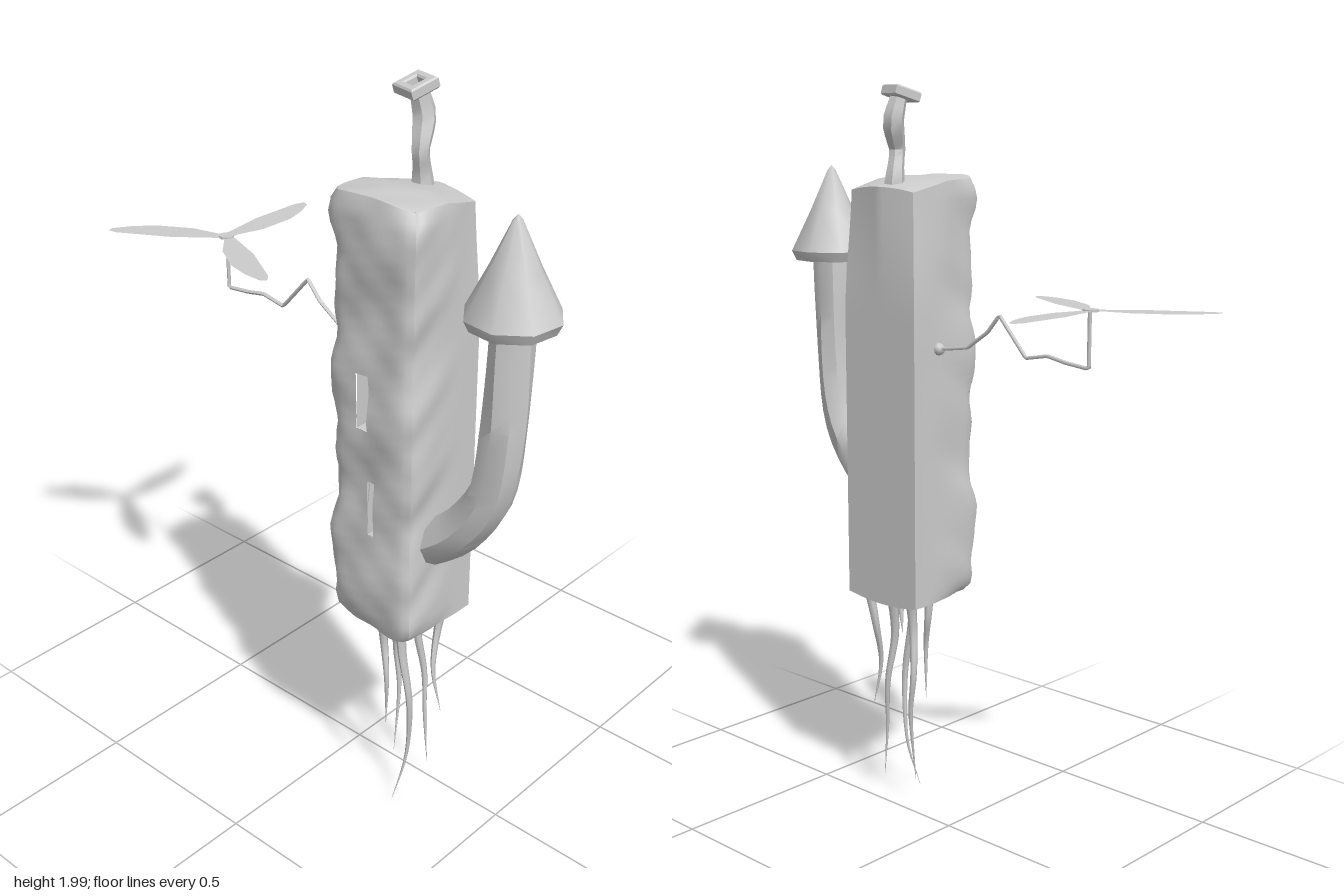
import * as THREE from 'three';
import { toCreasedNormals } from 'three/addons/utils/BufferGeometryUtils.js';

const grey = new THREE.MeshStandardMaterial({ color: 0xcccccc });
const greyThin = new THREE.MeshStandardMaterial({ color: 0xcccccc, side: THREE.DoubleSide });

function add(parent, name, geometry, material = grey) {
  const mesh = new THREE.Mesh(geometry, material);
  mesh.name = name;
  parent.add(mesh);
  return mesh;
}

// Tube along points, its radius scaled by a function of t; tension 0 keeps kinks straight
function sweep(points, radius, sides, steps, scale = () => 1, tension = 0.5) {
  const path = new THREE.CatmullRomCurve3(
    points.map((p) => new THREE.Vector3(...p)), false, 'catmullrom', tension);
  const geo = new THREE.TubeGeometry(path, steps, radius, sides, false);
  const pos = geo.attributes.position;
  const v = new THREE.Vector3();
  for (let i = 0; i <= steps; i++) {
    const centre = path.getPointAt(i / steps);
    for (let j = 0; j <= sides; j++) {
      const k = i * (sides + 1) + j;
      v.fromBufferAttribute(pos, k).sub(centre)
        .multiplyScalar(scale(i / steps, j % sides)).add(centre);
      pos.setXYZ(k, v.x, v.y, v.z);
    }
  }
  geo.computeVertexNormals();
  return geo;
}

// Tower block: rough at the front, plain at the back, with window openings cut in the front
const SIZE = [0.26, 1.16, 0.25], CENTRE = [0.225, 1.18, 0.095];
const COLS = 16, ROWS = 40, DEPTH = 10;
const windows = [
  { c0: 6, c1: 8, r0: 20, r1: 25 },
  { c0: 8, c1: 9, r0: 10, r1: 15 },
];

function roughness(x, y, z) {
  return 0.5 * Math.sin(13 * y + 6 * x + 1) + 0.35 * Math.sin(29 * y - 21 * x + 17 * z)
    + 0.3 * Math.sin(47 * x + 23 * y + 2) * Math.sin(31 * y + 40 * z);
}

function towerGeometry() {
  const geo = new THREE.BoxGeometry(...SIZE, COLS, ROWS, DEPTH);
  const front = geo.groups[4];
  const kept = [];
  for (let i = 0; i < geo.index.count; i++) {
    const cell = Math.floor((i - front.start) / 6);
    const col = cell % COLS, row = ROWS - 1 - Math.floor(cell / COLS);
    const open = i >= front.start && i < front.start + front.count && windows.some((w) =>
      col >= w.c0 && col < w.c1 && row >= w.r0 && row < w.r1);
    if (!open) kept.push(geo.index.getX(i));
  }
  geo.setIndex(kept);
  geo.clearGroups();

  const pos = geo.attributes.position;
  for (let i = 0; i < pos.count; i++) {
    const x = pos.getX(i), y = pos.getY(i), z = pos.getZ(i);
    const u = x / (SIZE[0] / 2), v = y / (SIZE[1] / 2), w = z / (SIZE[2] / 2);
    const rough = THREE.MathUtils.smoothstep(w, -0.6, 0.7);
    const n = roughness(x, y, z);
    const end = Math.pow(Math.abs(v), 24) * rough;
    const corner = Math.pow(Math.abs(u), 6) * Math.pow(Math.max(w, 0), 6);
    const lean = THREE.MathUtils.smoothstep(v, 0.35, 1) * Math.max(-w, 0);
    // sides bulge, front corners and ends soften, the upper back corners chamfer
    const nx = x * (1 + 0.09 * n * rough - 0.1 * end - 0.06 * corner
      - 0.16 * lean * (u < 0 ? 1 : 0.5));
    const nz = z + (0.011 * n - 0.014 * end - 0.018 * corner) * Math.max(w, 0)
      + 0.02 * lean * Math.abs(u);
    const ny = y + (v > 0 ? 1 : -1) * Math.pow(Math.abs(v), 16)
      * (0.006 * n * rough - 0.012 * u * u) - 0.025 * lean * Math.pow(Math.abs(v), 16);
    pos.setXYZ(i, nx + CENTRE[0], ny + CENTRE[1], nz + CENTRE[2]);
  }
  geo.computeVertexNormals();
  return geo;
}

function buildTower(group) {
  const tower = new THREE.Group();
  tower.name = 'tower';
  add(tower, 'stoneBlock', towerGeometry());
  const dx = SIZE[0] / COLS, dy = SIZE[1] / ROWS;
  for (const w of windows) {
    // inward-facing pocket behind each opening
    const width = (w.c1 - w.c0) * dx, height = (w.r1 - w.r0) * dy;
    const pocket = new THREE.BoxGeometry(width + 0.004, height + 0.004, 0.06);
    pocket.scale(-1, 1, 1);
    pocket.computeVertexNormals();
    add(tower, 'windowRecess', pocket).position.set(
      CENTRE[0] - SIZE[0] / 2 + (w.c0 + w.c1) / 2 * dx, 0.6 + (w.r0 + w.r1) / 2 * dy, 0.19);
  }
  group.add(tower);
}

// Curved side turret with a pointed roof
function buildTurret(group) {
  const turret = new THREE.Group();
  turret.name = 'sideTurret';
  const path = [[0.29, 0.84, 0.11], [0.35, 0.875, 0.11], [0.44, 0.95, 0.11],
    [0.515, 1.07, 0.11], [0.545, 1.25, 0.11], [0.553, 1.54, 0.11]];
  const wall = sweep(path, 0.056, 8, 18,
    (t, j) => 1.05 - 0.1 * t + 0.05 * Math.sin(9 * t + 2.3 * j));
  add(turret, 'turretWall', toCreasedNormals(wall, 0.7));
  const profile = [[0, 1.53], [0.05, 1.528], [0.104, 1.518], [0.117, 1.545],
    [0.062, 1.655], [0.012, 1.765], [0, 1.78]].map((p) => new THREE.Vector2(...p));
  const roof = add(turret, 'turretRoof',
    toCreasedNormals(new THREE.LatheGeometry(profile, 8), 0.85));
  roof.position.set(0.553, 0, 0.11);
  roof.rotation.y = 0.25;
  group.add(turret);
}

// Crooked chimney with a square, hollow, tilted cap
function buildChimney(group) {
  const chimney = new THREE.Group();
  chimney.name = 'chimney';
  const path = [[0.217, 1.72, 0.022], [0.215, 1.77, 0.025], [0.222, 1.83, 0.04],
    [0.208, 1.9, 0.012], [0.2, 1.975, 0.03]];
  add(chimney, 'chimneyPipe', toCreasedNormals(
    sweep(path, 0.025, 6, 12, (t) => 1 + 0.15 * Math.cos(9 * t), 0.25), 0.6));
  const square = (Type, h) => new Type(
    [[-h, -h], [h, -h], [h, h], [-h, h]].map((p) => new THREE.Vector2(...p)));
  const ring = square(THREE.Shape, 0.034);
  ring.holes.push(square(THREE.Path, 0.02));
  const capGeo = new THREE.ExtrudeGeometry(ring, {
    depth: 0.02, bevelThickness: 0.004, bevelSize: 0.004, bevelSegments: 1 });
  capGeo.rotateX(-Math.PI / 2);
  const cap = add(chimney, 'chimneyCap', capGeo);
  cap.position.set(0.2, 1.961, 0.03);
  cap.rotation.set(0.3, -0.25, 0.08);
  group.add(chimney);
}

// Bent arm carrying a three-bladed propeller
function buildPropeller(group) {
  const propeller = new THREE.Group();
  propeller.name = 'propeller';
  const z = 0.06;
  const path = [[0.12, 1.312, z], [0.06, 1.318, z], [-0.01, 1.328, z], [-0.08, 1.375, z],
    [-0.12, 1.422, z], [-0.21, 1.322, z], [-0.28, 1.335, z], [-0.34, 1.324, z],
    [-0.41, 1.317, z], [-0.41, 1.462, z]];
  add(propeller, 'propellerArm', sweep(path, 0.005, 6, 90, undefined, 0));
  const socket = add(propeller, 'armSocket', new THREE.SphereGeometry(0.017, 8, 6));
  socket.position.set(0.092, 1.314, z);
  const blade = new THREE.Shape([[-0.014, 0], [-0.022, 0.05], [-0.036, 0.14], [-0.035, 0.29],
    [-0.025, 0.315], [-0.008, 0.31], [0.018, 0.26], [0.035, 0.2], [0.035, 0.1], [0.014, 0.03],
    [0.014, 0]].map((p) => new THREE.Vector2(...p)));
  const bladeGeo = new THREE.ShapeGeometry(blade).rotateX(-Math.PI / 2);
  for (let i = 0; i < 3; i++) {
    const mesh = add(propeller, 'propellerBlade', bladeGeo, greyThin);
    mesh.position.set(-0.412, 1.46, z);
    mesh.rotation.y = i * Math.PI * 2 / 3;
  }
  const hub = add(propeller, 'propellerHub', new THREE.CylinderGeometry(0.02, 0.02, 0.006, 12));
  hub.position.set(-0.412, 1.46, z);
  group.add(propeller);
}

// Dangling roots that taper to points
function buildRoots(group) {
  const roots = new THREE.Group();
  roots.name = 'roots';
  const paths = [
    [[0.26, 0.63, 0.13], [0.265, 0.5, 0.128], [0.288, 0.34, 0.122], [0.27, 0.15, 0.11], [0.248, 0, 0.142]],
    [[0.165, 0.63, 0.02], [0.168, 0.52, 0.035], [0.148, 0.4, 0.015], [0.165, 0.27, 0.02], [0.17, 0.07, 0.045]],
    [[0.22, 0.63, 0.16], [0.222, 0.52, 0.15], [0.243, 0.42, 0.163], [0.235, 0.27, 0.155]],
    [[0.215, 0.63, 0.0], [0.225, 0.5, 0.02], [0.245, 0.36, 0.01], [0.26, 0.22, 0.022], [0.27, 0.07, 0.02]],
    [[0.295, 0.63, -0.012], [0.28, 0.52, 0.0], [0.29, 0.4, 0.028], [0.312, 0.27, 0.02]],
    [[0.25, 0.63, 0.065], [0.235, 0.56, 0.055], [0.22, 0.5, 0.045]],
  ];
  for (const path of paths) {
    add(roots, 'root', sweep(path, 0.017, 6, 20, (t) => Math.max(0.03, 1 - 0.6 * Math.sqrt(t) - 0.38 * t * t)));
  }
  group.add(roots);
}

export function createModel() {
  const group = new THREE.Group();
  group.name = 'floatingTower';
  buildTower(group);
  buildTurret(group);
  buildChimney(group);
  buildPropeller(group);
  buildRoots(group);
  return group;
}
